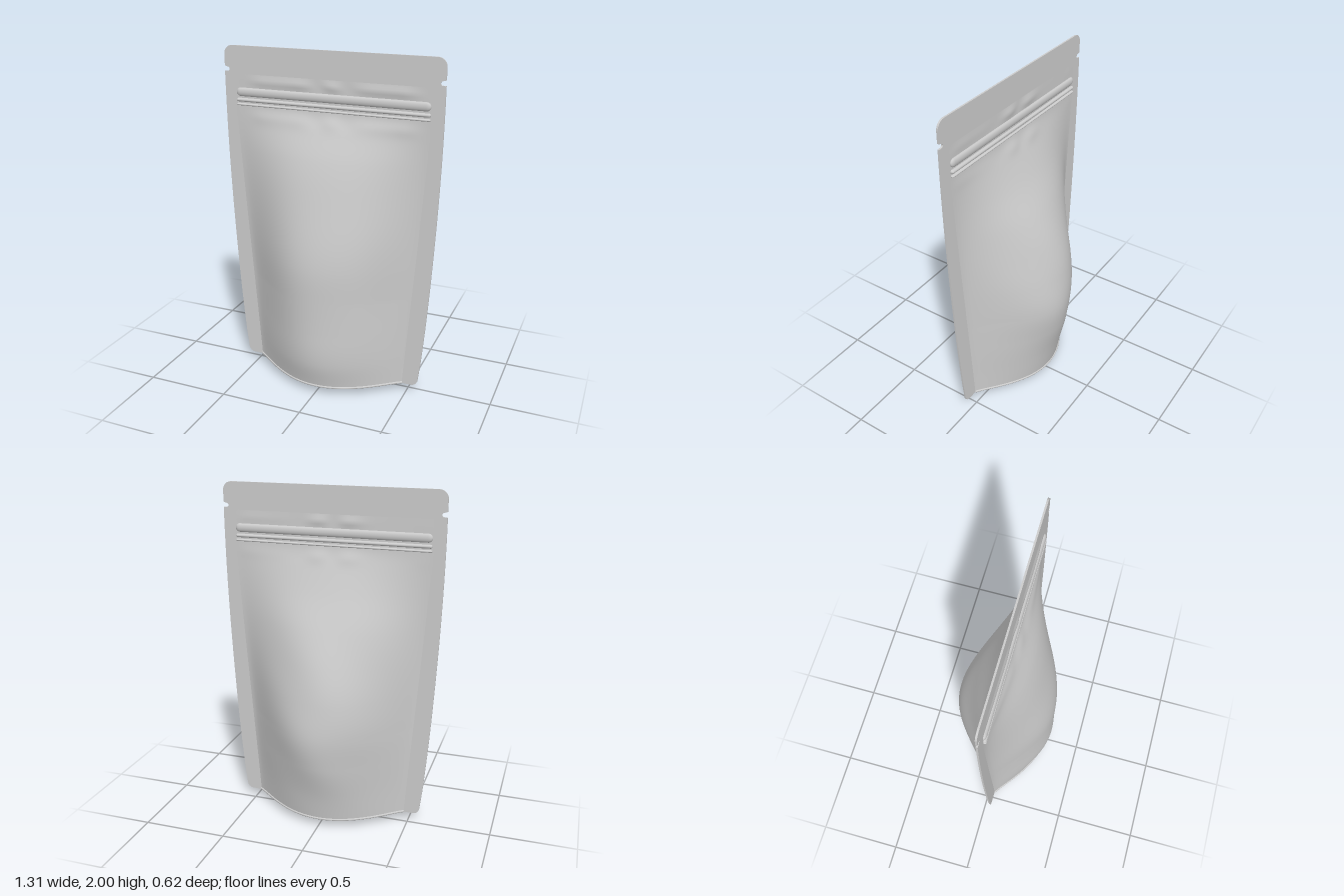
import * as THREE from 'three';

const SEAL_Z = 0.035, SEAL_T = 0.005, RIM_Y = 0.05, PANEL_TOP = 1.84;

// Smooth curve through [position, value] pairs
function profile(pts) {
  const slope = (i) => {
    const a = pts[Math.max(i - 1, 0)], b = pts[Math.min(i + 1, pts.length - 1)];
    return (b[1] - a[1]) / (b[0] - a[0]);
  };
  return (y) => {
    let i = 0;
    while (i < pts.length - 2 && y > pts[i + 1][0]) i++;
    const [x0, v0] = pts[i], [x1, v1] = pts[i + 1], h = x1 - x0;
    const t = THREE.MathUtils.clamp((y - x0) / h, 0, 1), t2 = t * t, t3 = t2 * t;
    return v0 * (2 * t3 - 3 * t2 + 1) + v1 * (3 * t2 - 2 * t3)
      + h * (slope(i) * (t3 - 2 * t2 + t) + slope(i + 1) * (t3 - t2));
  };
}

// Half widths of the whole pouch and of the filled pocket, by height
const outerWidth = profile([[0.045, 0.566], [0.5, 0.604], [1, 0.633], [1.4, 0.648], [1.7, 0.653], [2, 0.653]]);
const pocketWidth = profile([[0.05, 0.47], [0.2, 0.48], [0.6, 0.51], [1, 0.54], [1.5, 0.575], [1.65, 0.585], [1.84, 0.58]]);

// Bulge of the front and back walls along the middle, by height
const frontDepth = profile([[0.05, 0.232], [0.2, 0.262], [0.4, 0.27], [0.6, 0.27], [0.8, 0.26], [1, 0.23],
  [1.2, 0.18], [1.4, 0.115], [1.55, 0.048], [1.63, 0.012], [1.7, 0.004], [1.84, 0]]);
const backDepth = profile([[0.05, 0.242], [0.2, 0.27], [0.4, 0.312], [0.6, 0.338], [0.8, 0.315], [1, 0.262],
  [1.2, 0.19], [1.4, 0.1], [1.55, 0.04], [1.63, 0.012], [1.7, 0.004], [1.84, 0]]);

const bump = (d, w) => Math.exp(-(d * d) / (w * w));

// Point on a wall: u runs across (-1..1), side is +1 front or -1 back
function wallPoint(u, y, side) {
  const x = u * pocketWidth(y);
  const power = THREE.MathUtils.lerp(1.15, 1.4, Math.min(y / 0.6, 1));
  const round = Math.pow(Math.max(1 - u * u, 0), power);
  let d = (side > 0 ? frontDepth : backDepth)(y) * round;
  // soft dents in the film, and puckers above and below the zip
  const soft = Math.min(y / 0.4, 1) * bump(Math.max(y - 0.9, 0), 0.5) * round;
  d += soft * 0.007 * Math.sin(5 * x * side + 6 * y + side) * Math.sin(4.3 * y - 7 * x);
  if (side > 0) d -= 0.02 * bump(x - 0.4, 0.1) * bump(y - 0.55, 0.35) * round;
  const pucker = 0.5 + 0.5 * Math.sin(19 * x + side + 2 * Math.sin(9 * x));
  d += 0.008 * pucker * Math.min(round * 3, 1) * (bump(y - 1.8, 0.025) + 0.8 * bump(y - 1.6, 0.035));
  return new THREE.Vector3(x, y, SEAL_Z + side * (SEAL_T + Math.max(d, 0)));
}

// Surface grid from a point rule with u, v in 0..1
function grid(rule, nu, nv, flip) {
  const pos = [], idx = [];
  for (let j = 0; j <= nv; j++) {
    for (let i = 0; i <= nu; i++) pos.push(...rule(i / nu, j / nv).toArray());
  }
  for (let j = 0; j < nv; j++) {
    for (let i = 0; i < nu; i++) {
      const a = j * (nu + 1) + i, b = a + 1, c = a + nu + 1, d = c + 1;
      if (flip) idx.push(a, c, b, b, c, d);
      else idx.push(a, b, c, b, d, c);
    }
  }
  const geo = new THREE.BufferGeometry();
  geo.setAttribute('position', new THREE.Float32BufferAttribute(pos, 3));
  geo.setIndex(idx);
  geo.computeVertexNormals();
  return geo;
}

// Flat heat-sealed border with rounded corners, tear notches and the pocket cut out
function sealGeometry() {
  const half = [];
  const arc = (cx, cy, r, a0, a1) => {
    for (let i = 0; i <= 6; i++) {
      const a = THREE.MathUtils.lerp(a0, a1, i / 6);
      half.push([cx + r * Math.cos(a), cy + r * Math.sin(a)]);
    }
  };
  arc(0.526, 0.085, 0.04, -Math.PI / 2, 0);
  for (let i = 1; i <= 16; i++) {
    const y = 0.09 + i * 0.11;
    half.push([outerWidth(y), y]);
  }
  half.push([0.653, 1.852]);
  arc(0.635, 1.865, 0.012, Math.PI * 1.5, Math.PI * 0.5);
  half.push([0.653, 1.882]);
  arc(0.603, 1.95, 0.05, 0, Math.PI / 2);
  const mirrored = half.map(([x, y]) => [-x, y]).reverse();
  const shape = new THREE.Shape([...half, ...mirrored].map(([x, y]) => new THREE.Vector2(x, y)));

  const inner = [];
  for (let i = 0; i <= 20; i++) {
    const y = THREE.MathUtils.lerp(RIM_Y + 0.002, PANEL_TOP - 0.01, i / 20);
    inner.push([pocketWidth(y) - 0.012, y]);
  }
  const innerMirror = inner.map(([x, y]) => [-x, y]).reverse();
  shape.holes.push(new THREE.Path([...inner, ...innerMirror].map(([x, y]) => new THREE.Vector2(x, y))));
  return new THREE.ExtrudeGeometry(shape, { depth: SEAL_T * 2, bevelEnabled: false })
    .translate(0, 0, SEAL_Z - SEAL_T);
}

export function createModel() {
  const group = new THREE.Group();
  const film = new THREE.MeshStandardMaterial({ color: 0xcccccc, side: THREE.DoubleSide });
  const add = (name, geometry) => {
    const mesh = new THREE.Mesh(geometry, film);
    mesh.name = name;
    group.add(mesh);
    return mesh;
  };

  add('sealedBorder', sealGeometry());

  for (const side of [1, -1]) {
    const label = side > 0 ? 'front' : 'back';
    // Bulging wall
    add(label + 'Wall', grid((u, v) => wallPoint(u * 2 - 1,
      THREE.MathUtils.lerp(RIM_Y, PANEL_TOP, v), side), 64, 130, side < 0));

    // Rolled lower edge
    const rim = [];
    for (let i = 0; i <= 24; i++) rim.push(wallPoint(i / 12 - 1, RIM_Y, side));
    add(label + 'Rim', new THREE.TubeGeometry(new THREE.CatmullRomCurve3(rim), 60, 0.007, 8));

    // Press-to-close zip: a wide rib above a narrow one, with a fine lower bead
    for (const [y, height, depth] of [[1.738, 0.05, 0.013], [1.692, 0.022, 0.014], [1.666, 0.014, 0.013]]) {
      const rib = new THREE.CapsuleGeometry(1, 1.16 / (height / 2) - 2, 6, 12);
      rib.rotateZ(Math.PI / 2).scale(height / 2, height / 2, depth);
      add(label + 'ZipRib', rib).position.set(0, y, SEAL_Z + side * 0.007);
    }
  }

  // Gusset closing the base, sagging to the ground in the middle
  add('baseGusset', grid((u, v) => {
    const across = u * 2 - 1;
    const p = wallPoint(across, RIM_Y, 1).lerp(wallPoint(across, RIM_Y, -1), v);
    p.y -= RIM_Y * Math.pow(1 - across * across, 1.2) * Math.pow(Math.max(Math.sin(Math.PI * v), 0), 1.4);
    return p;
  }, 48, 24, true));

  return group;
}
